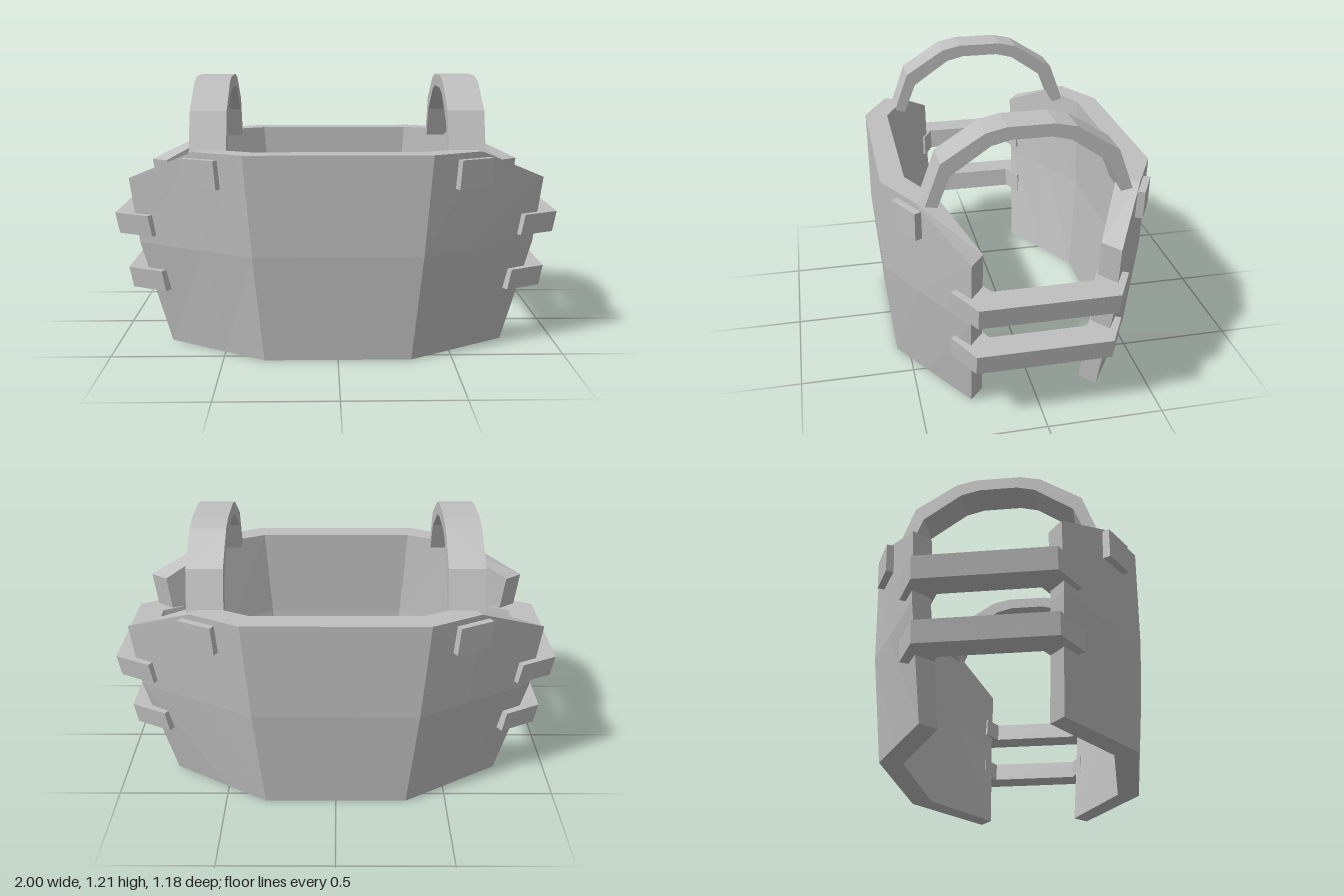
import * as THREE from 'three';

const grey = new THREE.MeshStandardMaterial({ color: 0xbfbfbf });
grey.name = 'plain grey';

// Skin a row of closed cross-sections (even point count), close both ends, keep faces flat
function loft(name, rings) {
  const n = rings[0].length;
  const tris = [];
  const quad = (a, b, c, d) => tris.push([a, b, c], [a, c, d]);
  for (let s = 0; s < rings.length - 1; s++) {
    for (let i = 0; i < n; i++) {
      const j = (i + 1) % n;
      quad(rings[s][i], rings[s][j], rings[s + 1][j], rings[s + 1][i]);
    }
  }
  const last = rings[rings.length - 1];
  for (let i = 0; i < n / 2 - 1; i++) {
    const k = n - 1 - i;
    quad(rings[0][i], rings[0][k], rings[0][k - 1], rings[0][i + 1]);
    quad(last[i], last[i + 1], last[k - 1], last[k]);
  }
  // a negative volume means the faces point inwards
  let volume = 0;
  for (const [a, b, c] of tris) {
    volume += new THREE.Vector3(...a).dot(new THREE.Vector3(...b).cross(new THREE.Vector3(...c)));
  }
  if (volume < 0) tris.forEach((t) => t.reverse());
  const geometry = new THREE.BufferGeometry();
  geometry.setAttribute('position', new THREE.Float32BufferAttribute(tris.flat(2), 3));
  geometry.computeVertexNormals();
  const mesh = new THREE.Mesh(geometry, grey);
  mesh.name = name;
  return mesh;
}

// Half of a body plate: sections from the flat middle to the open side.
// Order: outer bottom, middle, top, then inner top, middle, bottom.
const PLATE = [
  [[0.32, 0, 0.555], [0.365, 0.47, 0.592], [0.40, 0.905, 0.592],
    [0.37, 0.905, 0.488], [0.34, 0.47, 0.488], [0.29, 0, 0.455]],
  [[0.505, 0, 0.44], [0.585, 0.47, 0.47], [0.62, 0.905, 0.475],
    [0.58, 0.905, 0.382], [0.54, 0.47, 0.382], [0.46, 0, 0.355]],
  [[0.76, 0, 0.28], [0.89, 0.47, 0.30], [0.93, 0.765, 0.30],
    [0.85, 0.765, 0.24], [0.81, 0.47, 0.24], [0.69, 0, 0.22]],
];

function bodyPlate(name, sz) {
  const side = (sx) => PLATE.map((ring) => ring.map(([x, y, z]) => [x * sx, y, z * sz]));
  return loft(name, [...side(-1).reverse(), ...side(1)]);
}

// Vertical band: plan pairs [outerX, outerZ, innerX, innerZ], leaning inwards at its foot
function band(name, plan, y0, y1, lean, sx, sz = 1) {
  return loft(name, plan.map(([ox, oz, ix, iz]) => [
    [sx * (ox - lean), y0, sz * oz], [sx * ox, y1, sz * oz],
    [sx * ix, y1, sz * iz], [sx * (ix - lean), y0, sz * iz],
  ]));
}

// Side strap wrapping from the front plate to the back plate
function sideStrap(name, x, y0, y1, sx) {
  const half = [[x - 0.16, 0.37, x - 0.225, 0.258], [x, 0.287, x - 0.13, 0.21]];
  const back = half.map(([ox, oz, ix, iz]) => [ox, -oz, ix, -iz]).reverse();
  return band(name, [...half, ...back], y0, y1, 0.018, sx);
}

// Shoulder arch: [outerZ, outerY, innerZ, innerY] from the front to the crown
const ARCH = [
  [0.437, 0.888, 0.388, 0.875],
  [0.37, 1.07, 0.332, 1.015],
  [0.188, 1.185, 0.165, 1.13],
  [0.10, 1.205, 0.085, 1.15],
];

function shoulderStrap(name, sx) {
  const back = ARCH.map(([oz, oy, iz, iy]) => [-oz, oy, -iz, iy]).reverse();
  return loft(name, [...ARCH, ...back].map(([oz, oy, iz, iy]) => [
    [sx * 0.48, oy, oz], [sx * 0.64, oy, oz], [sx * 0.64, iy, iz], [sx * 0.48, iy, iz],
  ]));
}

export function createModel() {
  const model = new THREE.Group();
  model.name = 'bodyArmour';
  model.add(bodyPlate('frontPlate', 1), bodyPlate('backPlate', -1));

  for (const [side, sx] of [['left', 1], ['right', -1]]) {
    model.add(shoulderStrap(side + 'ShoulderStrap', sx));
    model.add(sideStrap(side + 'UpperSideStrap', 1.0, 0.512, 0.605, sx));
    model.add(sideStrap(side + 'LowerSideStrap', 0.947, 0.26, 0.352, sx));
    // Square strap anchors set through the plates
    for (const [end, sz] of [['Front', 1], ['Back', -1]]) {
      const plan = [[0.525, 0.558, 0.461, 0.445], [0.672, 0.482, 0.608, 0.369]];
      model.add(band(side + end + 'StrapAnchor', plan, 0.752, 0.878, 0.01, sx, sz));
    }
  }
  return model;
}
